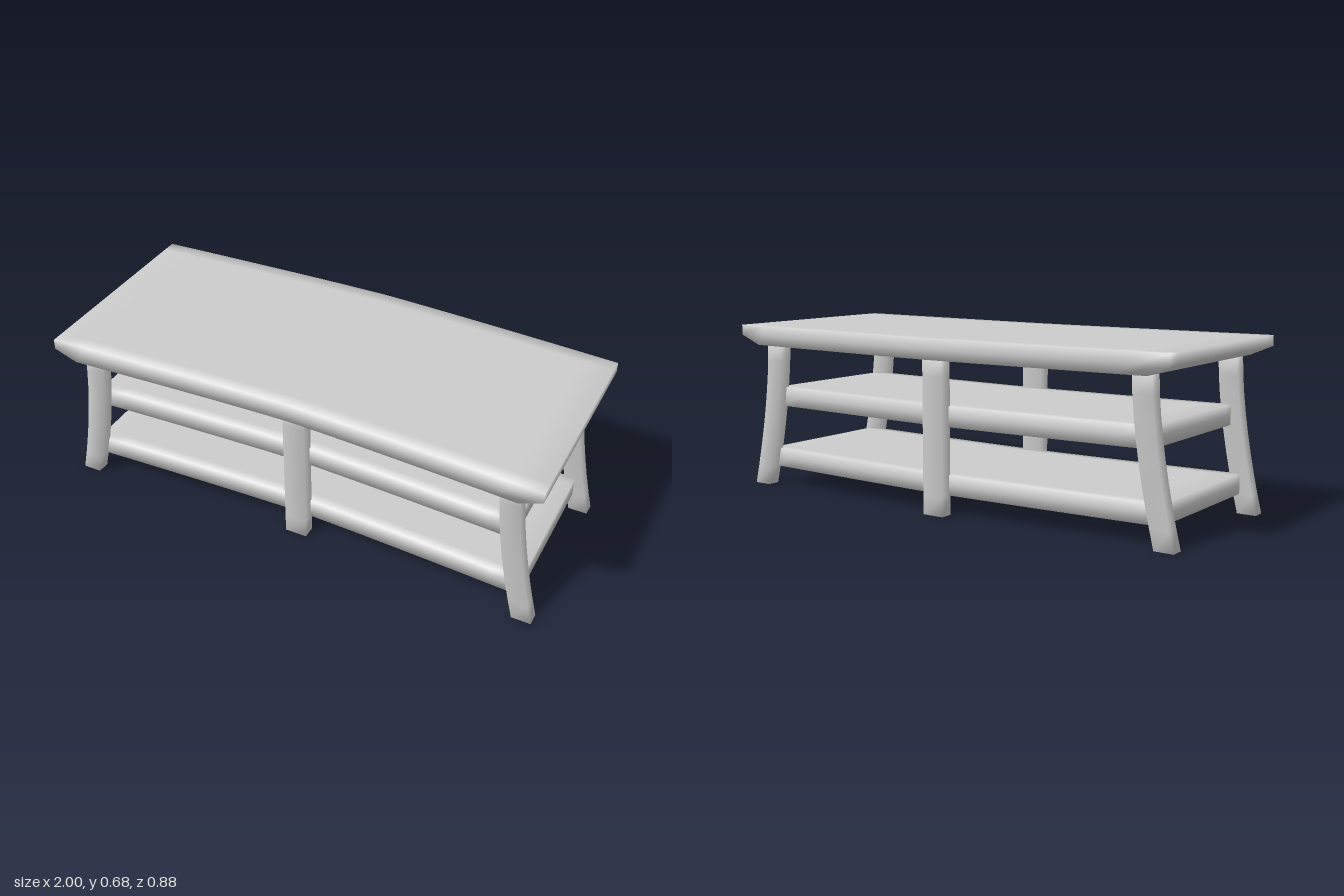
import * as THREE from 'three';
import { mergeVertices } from 'three/addons/utils/BufferGeometryUtils.js';

const material = new THREE.MeshStandardMaterial({ color: 0xcccccc });

// Sideways bow shared by the top, the shelves and the leg positions
const bow = (x) => 0.02 - 0.042 * (1 - Math.min(1, Math.abs(x)) ** 1.3);

// A box whose vertices are moved by a rule, with soft, shared normals
function shapedBox(name, size, segments, rule) {
  const geo = new THREE.BoxGeometry(...size, ...segments);
  geo.deleteAttribute('normal');
  geo.deleteAttribute('uv');
  const pos = geo.attributes.position;
  const v = new THREE.Vector3();
  for (let i = 0; i < pos.count; i++) {
    v.fromBufferAttribute(pos, i);
    rule(v);
    pos.setXYZ(i, v.x, v.y, v.z);
  }
  const welded = mergeVertices(geo, 1e-5);
  welded.computeVertexNormals();
  const mesh = new THREE.Mesh(welded, material);
  mesh.name = name;
  return mesh;
}

// Bowed board; undercut and tuck pull the bottom edge inwards
function board(name, halfX, bottom, height, halfZ, undercut = 0, tuck = 0) {
  return shapedBox(name, [2 * halfX, height, 2 * halfZ], [16, 2, 6], (v) => {
    const isBottom = v.y < -height / 4;
    const isMiddle = Math.abs(v.y) < height / 4;
    v.z = halfZ * Math.sin((v.z / halfZ) * Math.PI / 2); // loops gather near the long edges
    v.z += bow(v.x);
    if (isBottom) {
      v.x *= 1 - undercut / halfX;
      v.z -= Math.sign(v.z) * tuck;
    }
    // the undercut starts below the middle of the edge
    v.y += bottom + height / 2 + (isMiddle && undercut ? 0.012 - height / 6 : 0);
  });
}

// Leg at side -1, 0 or 1 along x; the outer legs splay towards the foot
const LEG_TOP = 0.61;
function leg(name, side, z) {
  const width = side ? 0.077 : 0.09;
  return shapedBox(name, [width, LEG_TOP, 0.052], [1, 8, 1], (v) => {
    v.y += LEG_TOP / 2;
    const splay = 0.095 * Math.max(0, 1 - v.y / 0.6) ** 1.6;
    v.x += side * (0.905 + splay - width / 2);
    v.z += z + bow(side * 0.95);
  });
}

export function createModel() {
  const model = new THREE.Group();
  model.name = 'bench';

  model.add(board('tableTop', 1, 0.602, 0.08, 0.42, 0.09, 0.005));
  model.add(board('upperShelf', 0.885, 0.34, 0.08, 0.32));
  model.add(board('lowerShelf', 0.93, 0.077, 0.078, 0.32));

  // Three legs along each long side
  const sideNames = ['Right', 'Middle', 'Left'];
  for (const side of [-1, 0, 1]) {
    model.add(leg(`front${sideNames[side + 1]}Leg`, side, 0.337));
    model.add(leg(`back${sideNames[side + 1]}Leg`, side, -0.337));
  }
  return model;
}
